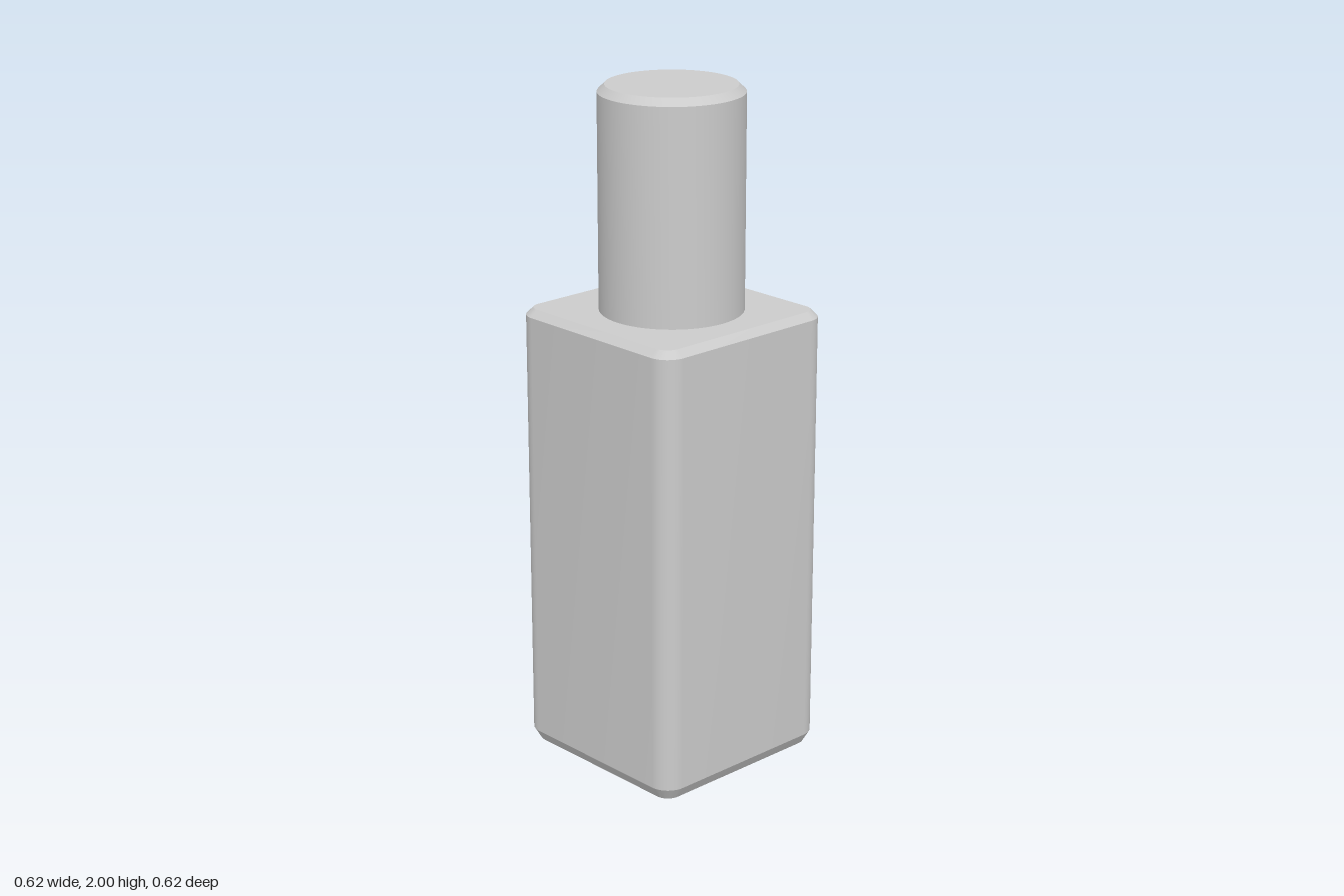
import * as THREE from 'three';
import { toCreasedNormals } from 'three/addons/utils/BufferGeometryUtils.js';

const HALF = 0.312, CORNER = 0.0625, CORNER_STEPS = 10, CREASE = 0.35;

// Rounded-square outline, pulled inwards by `inset`, at height y
function ring(y, inset) {
  const points = [];
  const c = HALF - CORNER, r = CORNER - inset;
  for (let q = 0; q < 4; q++) {
    const mid = (q + 0.5) * Math.PI / 2;
    const cx = Math.sign(Math.cos(mid)) * c, cz = Math.sign(Math.sin(mid)) * c;
    for (let i = 0; i <= CORNER_STEPS; i++) {
      const a = (q + i / CORNER_STEPS) * Math.PI / 2;
      points.push([cx + r * Math.cos(a), y, cz + r * Math.sin(a)]);
    }
  }
  return points;
}

// Joins stacked rings into a closed solid with flat ends
function loft(rings) {
  const n = rings[0].length, last = rings.length - 1;
  const positions = rings.flat(2), index = [];
  const bottom = rings.length * n, top = bottom + 1;
  positions.push(0, rings[0][0][1], 0, 0, rings[last][0][1], 0);
  for (let j = 0; j < n; j++) {
    const k = (j + 1) % n;
    for (let i = 0; i < last; i++) {
      const a = i * n + j, b = i * n + k;
      index.push(a, a + n, b, b, a + n, b + n);
    }
    index.push(bottom, j, k, top, last * n + k, last * n + j);
  }
  const geometry = new THREE.BufferGeometry();
  geometry.setAttribute('position', new THREE.Float32BufferAttribute(positions, 3));
  geometry.setIndex(index);
  return toCreasedNormals(geometry, CREASE);
}

export function createModel() {
  const group = new THREE.Group();
  group.name = 'squareBodyWithRoundPin';
  const material = new THREE.MeshStandardMaterial({ color: 0xcccccc });
  const add = (name, geometry) => {
    const mesh = new THREE.Mesh(geometry, material);
    mesh.name = name;
    group.add(mesh);
  };

  // Square body: steep chamfer at the foot, 45 degree chamfer at the shoulder
  add('body', loft([ring(0, 0.021), ring(0.036, 0), ring(1.332, 0), ring(1.353, 0.021)]));

  // Round pin with a chamfered top
  const profile = [[0.208, 1.353], [0.208, 1.979], [0.187, 2], [0, 2]]
    .map(([x, y]) => new THREE.Vector2(x, y));
  add('pin', toCreasedNormals(new THREE.LatheGeometry(profile, 72), CREASE));

  return group;
}
